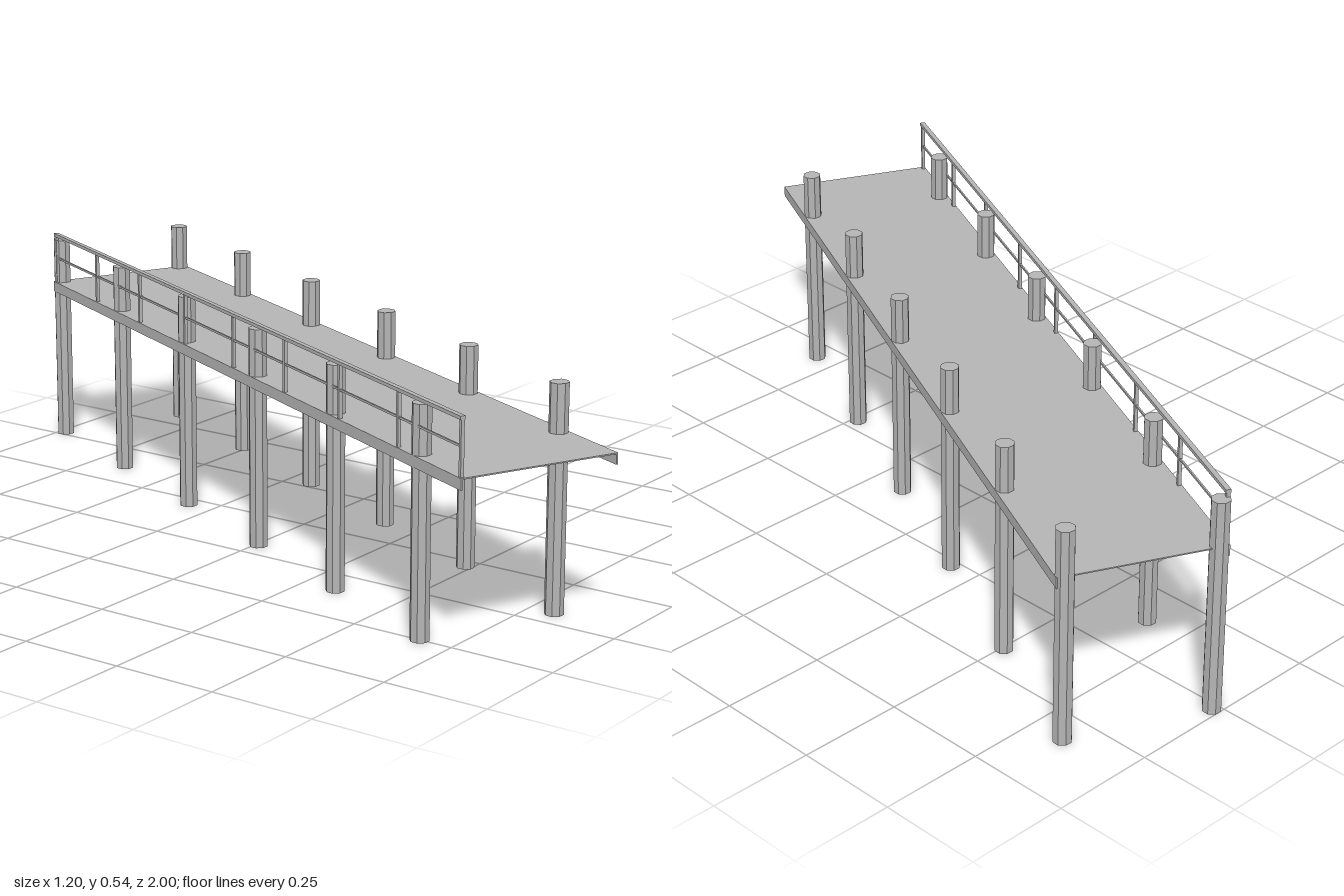
import * as THREE from 'three';

export function createModel() {
  const model = new THREE.Group();
  model.name = 'pier';
  const grey = new THREE.MeshStandardMaterial({ color: 0xb4b4b4, flatShading: true, side: THREE.DoubleSide });
  grey.name = 'concrete grey';

  // The pier runs diagonally; its parts are laid out along local z and turned together.
  const pier = new THREE.Group();
  pier.name = 'pierBody';
  pier.rotation.y = -THREE.MathUtils.degToRad(25);
  model.add(pier);

  const halfLength = 1.01, halfWidth = 0.193;
  const deckTop = 0.413, beamDepth = 0.026;

  function add(name, geometry, x, y, z) {
    const mesh = new THREE.Mesh(geometry, grey);
    mesh.name = name;
    mesh.position.set(x, y, z);
    pier.add(mesh);
    return mesh;
  }
  const box = (name, w, h, d, x, y, z) => add(name, new THREE.BoxGeometry(w, h, d), x, y, z);

  // Thin deck with an edge beam down each long side, open at the ends
  box('deck', halfWidth * 2, 0.003, halfLength * 2, 0, deckTop - 0.0015, 0);
  for (const side of [-1, 1]) {
    box('edgeBeam', 0.004, beamDepth, halfLength * 2, side * (halfWidth - 0.002), deckTop - beamDepth / 2, 0);
  }

  // Two rows of octagonal piles passing up through the deck
  const pileHeight = 0.525;
  const pileGeometry = new THREE.CylinderGeometry(0.022, 0.022, pileHeight, 8);
  for (const side of [-1, 1]) {
    for (let i = 0; i < 6; i++) {
      add('pile', pileGeometry, side * 0.171, pileHeight / 2, 0.819 - i * 0.3642);
    }
  }

  // Railing on one side: nine posts, a top rail and a thin middle rail
  const railX = -halfWidth + 0.006, railFront = 1.005, railBack = -1.002;
  const railLength = railFront - railBack, railMid = (railFront + railBack) / 2;
  for (let i = 0; i < 9; i++) {
    const z = railFront - 0.004 - (i / 8) * (railLength - 0.008);
    box('railPost', 0.008, 0.125, 0.008, railX, deckTop + 0.0625, z);
  }
  box('topRail', 0.012, 0.008, railLength, railX, 0.539, railMid);
  box('middleRail', 0.004, 0.005, railLength, railX, 0.478, railMid);

  return model;
}
